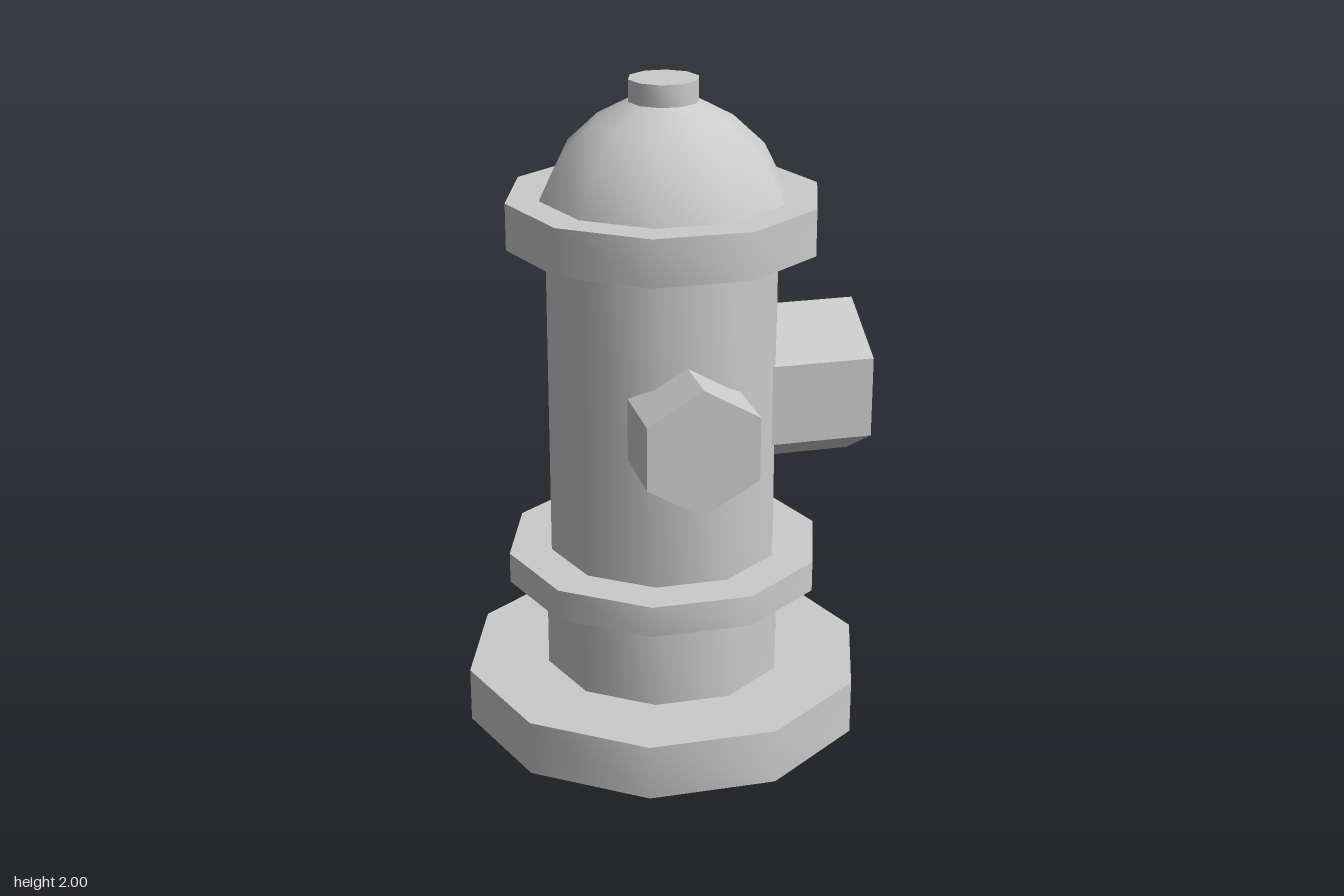
import * as THREE from 'three';
import { toCreasedNormals } from 'three/addons/utils/BufferGeometryUtils.js';

const SIDES = 10;

export function createModel() {
  const model = new THREE.Group();
  const shell = new THREE.MeshStandardMaterial({ color: 0xcccccc, side: THREE.DoubleSide });
  const faceted = new THREE.MeshStandardMaterial({ color: 0xcccccc, flatShading: true });

  // Ten-sided turned part with a corner on the x axis; profile is [radius, y], bottom to top
  function turned(name, profile) {
    const points = profile.map(([r, y]) => new THREE.Vector2(r, y));
    const lathe = new THREE.LatheGeometry(points, SIDES, Math.PI / 2);
    const mesh = new THREE.Mesh(toCreasedNormals(lathe, 0.8), shell);
    mesh.name = name;
    model.add(mesh);
  }

  // Collar around the barrel, open towards the inside
  function collar(name, inner, outer, y0, y1, innerTop = inner) {
    turned(name, [[inner, y0], [outer, y0], [outer, y1], [innerTop, y1]]);
  }

  // Six-sided outlet pointing along +z, turned about y by angle
  function outlet(name, radius, start, end, angle, offsetX) {
    const geometry = new THREE.CylinderGeometry(radius, radius, end - start, 6);
    geometry.rotateX(Math.PI / 2).translate(0, 0, (start + end) / 2).rotateY(angle);
    const mesh = new THREE.Mesh(geometry, faceted);
    mesh.name = name;
    mesh.position.set(offsetX, 1.045, 0);
    model.add(mesh);
  }

  // Hollow barrel, open at the bottom
  turned('lowerBarrel', [[0.37, 0], [0.37, 0.46]]);
  turned('upperBarrel', [[0.354, 0.555], [0.354, 1.52]]);

  // Foot and collars
  collar('baseFlange', 0.37, 0.62, 0, 0.17);
  collar('lowerCollar', 0.37, 0.485, 0.46, 0.555, 0.354);
  collar('upperCollar', 0.354, 0.47, 1.52, 1.66, 0.37);

  // Domed bonnet and the nut on top
  turned('bonnet', [[0.37, 1.66], [0.305, 1.79], [0.208, 1.88], [0.105, 1.935]]);
  turned('topNut', [[0.105, 1.935], [0.105, 2], [0, 2]]);

  // Outlets
  outlet('mainOutlet', 0.2475, 0.27, 0.59, Math.PI / 2, 0);
  outlet('frontOutlet', 0.19, 0.28, 0.52, 0, -0.015);
  outlet('backOutlet', 0.19, 0.28, 0.51, Math.PI, -0.015);

  return model;
}
